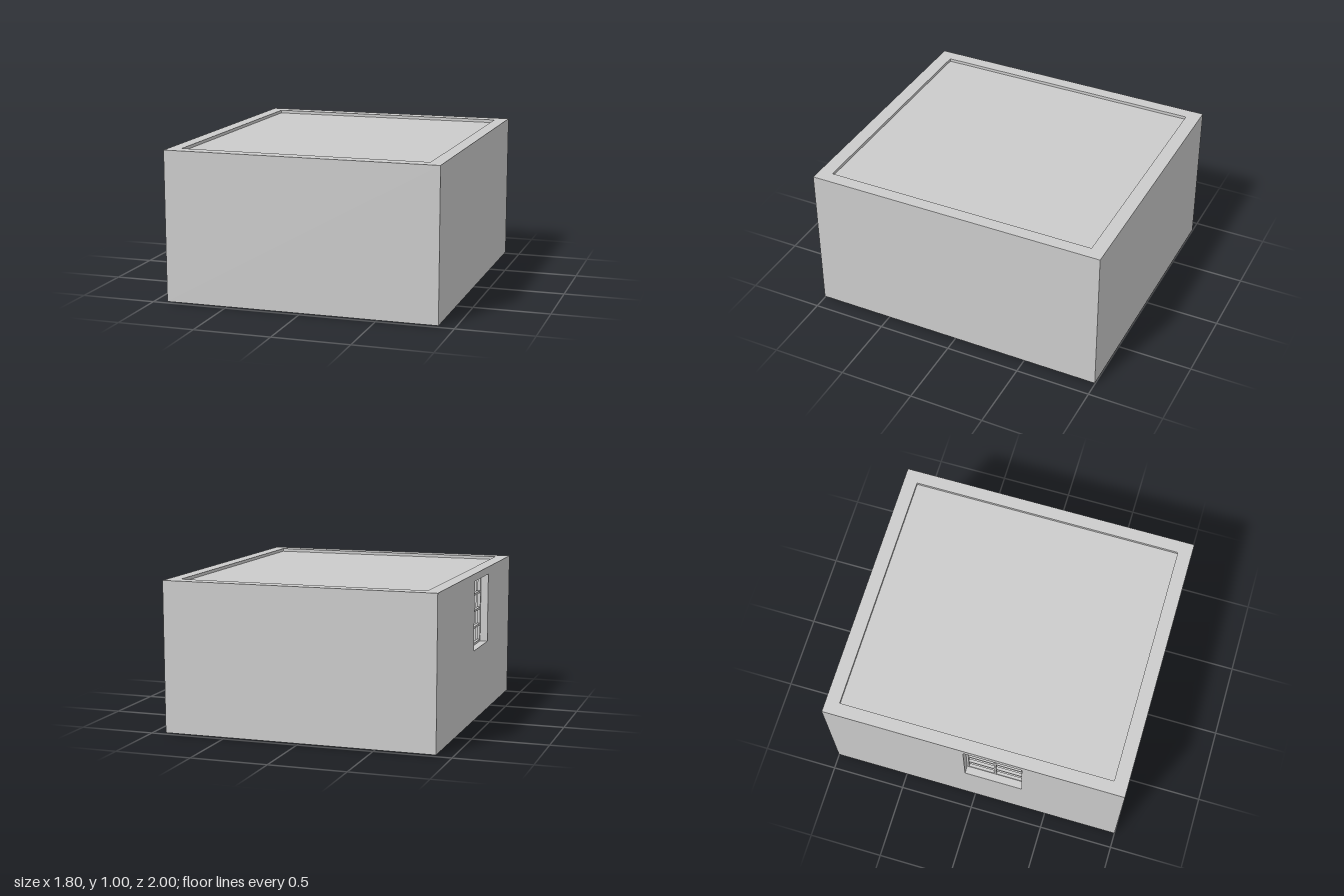
import * as THREE from 'three';

const mat = new THREE.MeshStandardMaterial({ color: 0xcccccc, side: THREE.DoubleSide, flatShading: true });
const OX = 0.9, OZ = 1, IX = 0.815, IZ = 0.908, BASE = 0.01, TOP = 1;
const WIN = { u0: -0.06, u1: 0.33, v0: 0.485, v1: 0.95 };
const DOOR = { u0: -0.84, u1: -0.4, v0: 0.05, v1: 0.82 };

function add(parent, name, geometry, x = 0, y = 0, z = 0) {
  const mesh = new THREE.Mesh(geometry, mat);
  mesh.name = name;
  mesh.position.set(x, y, z);
  parent.add(mesh);
  return mesh;
}

// Box given by its lower and upper bounds on each axis
function block(parent, name, x0, x1, y0, y1, z0, z1) {
  return add(parent, name, new THREE.BoxGeometry(x1 - x0, y1 - y0, z1 - z0),
    (x0 + x1) / 2, (y0 + y1) / 2, (z0 + z1) / 2);
}

function rect(Type, u0, u1, v0, v1) {
  return new Type([[u0, v0], [u1, v0], [u1, v1], [u0, v1]].map(([u, v]) => new THREE.Vector2(u, v)));
}

// Upright sheet, with an optional rectangular opening
function sheet(half, hole) {
  const shape = rect(THREE.Shape, -half, half, BASE, TOP);
  if (hole) shape.holes.push(rect(THREE.Path, hole.u0, hole.u1, hole.v0, hole.v1));
  return new THREE.ShapeGeometry(shape);
}

// Hollow wall: outer and inner skins, open underneath
function walls(g) {
  for (const [skin, wx, wz] of [['outer', OX, OZ], ['inner', IX, IZ]]) {
    for (const s of [-1, 1]) {
      add(g, skin + (s > 0 ? 'FrontWall' : 'BackWall'), sheet(wx), 0, 0, s * wz);
      const hole = s < 0 ? WIN : skin === 'inner' ? DOOR : null;
      add(g, skin + (s > 0 ? 'LeftWall' : 'RightWall'), sheet(wz, hole), s * wx).rotation.y = -Math.PI / 2;
    }
  }
  const rim = rect(THREE.Shape, -OX, OX, -OZ, OZ);
  rim.holes.push(rect(THREE.Path, -IX, IX, -IZ, IZ));
  add(g, 'wallTop', new THREE.ShapeGeometry(rim), 0, TOP).rotation.x = -Math.PI / 2;
}

// Lining through the wall, frame and glazing bars
function makeWindow() {
  const g = new THREE.Group();
  g.name = 'window';
  const { u0, u1, v0, v1 } = WIN, t = 0.002, depth = OX - IX;
  for (const v of [v0 - t, v1]) block(g, 'windowReveal', -OX, -OX + depth, v, v + t, u0, u1);
  for (const u of [u0 - t, u1]) block(g, 'windowReveal', -OX, -OX + depth, v0, v1, u, u + t);
  const x0 = -0.85, x1 = -0.83, b = 0.014;
  for (const u of [u0, (u0 + u1 - b) / 2, u1 - b]) block(g, 'windowUpright', x0, x1, v0, v1, u, u + b);
  for (let i = 0; i <= 4; i++) {
    const v = v0 + (v1 - v0 - b) * i / 4;
    block(g, 'windowCrossbar', x0, x1, v, v + b, u0, u1);
  }
  return g;
}

// Door set back into the wall cavity
function makeDoor() {
  const g = new THREE.Group();
  g.name = 'door';
  const { u0, u1, v0, v1 } = DOOR;
  block(g, 'doorPanel', IX, IX + 0.07, v0, v1, u0, u1);
  add(g, 'doorKnob', new THREE.SphereGeometry(0.015, 12, 8), IX - 0.015, 0.4, u1 - 0.05);
  return g;
}

// L-shaped run of units along the right and front walls
function makeKitchen() {
  const g = new THREE.Group();
  g.name = 'kitchen';
  const low = 0.005, h = 0.36, wt = 0.38;
  block(g, 'fridge', -IX, -0.575, 0, 0.72, -0.776, -0.54);
  block(g, 'oven', -0.58, -0.34, 0, h, 0.665, 0.905);
  for (const [z0, z1] of [[-0.54, -0.06], [-0.06, 0.41], [0.41, 0.905]]) {
    block(g, 'sideCabinet', -IX, -0.58, low, h, z0, z1);
    block(g, 'cabinetHandle', -0.58, -0.57, 0.31, 0.32, z0 + 0.1, z1 - 0.1);
  }
  for (const [x0, x1] of [[-0.34, -0.08], [-0.08, 0.18]]) {
    block(g, 'frontCabinet', x0, x1, low, h, 0.665, 0.905);
    block(g, 'cabinetHandle', x0 + 0.07, x1 - 0.07, 0.31, 0.32, 0.655, 0.665);
  }
  block(g, 'sideWorktop', -IX, -0.565, h, wt, -0.54, 0.905);
  block(g, 'frontWorktop', -0.565, 0.2, h, wt, 0.65, 0.905);
  return g;
}

// Bar stool with four legs
function makeStool(x, z) {
  const g = new THREE.Group();
  g.name = 'stool';
  g.position.set(x, 0, z);
  add(g, 'stoolSeat', new THREE.CylinderGeometry(0.075, 0.075, 0.02, 20), 0, 0.26, 0);
  for (const sx of [-1, 1]) for (const sz of [-1, 1]) {
    add(g, 'stoolLeg', new THREE.CylinderGeometry(0.007, 0.007, 0.25, 8), sx * 0.05, 0.13, sz * 0.05);
  }
  return g;
}

export function createModel() {
  const room = new THREE.Group();
  room.name = 'room';
  walls(room);
  block(room, 'floor', -IX, IX, BASE, 0.02, -IZ, IZ);
  block(room, 'ceiling', -IX, IX, 0.97, 0.98, -IZ, IZ);
  room.add(makeWindow(), makeDoor(), makeKitchen());

  // Free-standing island and its stools
  const island = new THREE.Group();
  island.name = 'island';
  block(island, 'islandBase', -0.06, 0.196, 0.005, 0.36, -0.3, 0.39);
  block(island, 'islandTop', -0.08, 0.216, 0.36, 0.38, -0.32, 0.41);
  room.add(island, makeStool(0.32, 0.2), makeStool(0.32, -0.13));
  return room;
}
